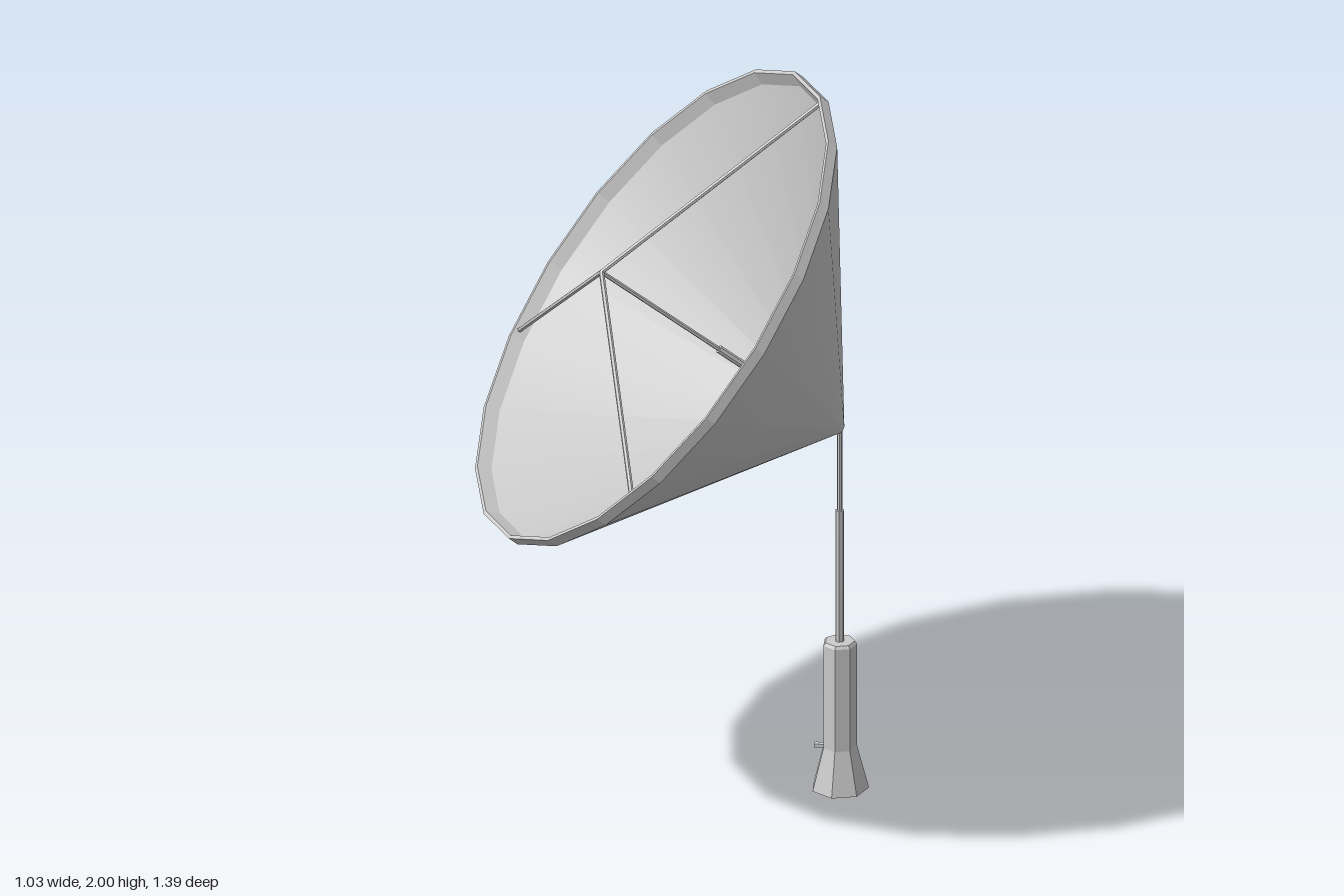
import * as THREE from 'three';

const smooth = new THREE.MeshStandardMaterial({ color: 0xcccccc });
const flat = new THREE.MeshStandardMaterial({ color: 0xcccccc, flatShading: true });

function lathe(name, profile, sides, material, start = 0) {
  const points = profile.map(([r, y]) => new THREE.Vector2(r, y));
  const mesh = new THREE.Mesh(new THREE.LatheGeometry(points, sides, start), material);
  mesh.name = name;
  return mesh;
}

// Thin rod between two points
function rod(name, from, to, radius, sides = 6) {
  const dir = to.clone().sub(from);
  const mesh = new THREE.Mesh(new THREE.CylinderGeometry(radius, radius, dir.length(), sides), flat);
  mesh.position.copy(from).add(to).multiplyScalar(0.5);
  mesh.quaternion.setFromUnitVectors(new THREE.Vector3(0, 1, 0), dir.normalize());
  mesh.name = name;
  return mesh;
}

// Dish built around its own y axis, with the rim centre at the origin
function createDish() {
  const dish = new THREE.Group();
  dish.name = 'dish';
  const sides = 20;
  dish.add(
    lathe('dishBack', [[0, -0.64], [0.012, -0.635], [0.72, -0.015]], sides, smooth),
    lathe('dishRim', [[0.72, -0.015], [0.72, 0.015], [0.71, 0.015], [0.695, -0.02]], sides, flat),
    lathe('dishInside', [[0.695, -0.02], [0.01, -0.616], [0, -0.62]], sides, smooth),
  );

  // Three struts and the axial feed meet at the focus
  const focus = new THREE.Vector3(0, 0.187, 0);
  for (const degrees of [0, 124, -116]) {
    const a = THREE.MathUtils.degToRad(degrees);
    const end = new THREE.Vector3(0.706 * Math.sin(a), 0, 0.706 * Math.cos(a));
    dish.add(rod('strut', focus, end, 0.007));
  }
  const tip = new THREE.Vector3(0, -0.62, 0);
  dish.add(rod('feedRod', focus, tip, 0.006));
  dish.add(rod('feedSleeve', new THREE.Vector3(0, -0.215, 0), tip, 0.011, 8));

  // Aim the dish up, sideways and slightly forward
  const axis = new THREE.Vector3(-0.74, 0.625, 0.25).normalize();
  const top = new THREE.Vector3(0, 1, 0).addScaledVector(axis, -axis.y).normalize();
  const side = new THREE.Vector3().crossVectors(axis, top);
  dish.quaternion.setFromRotationMatrix(new THREE.Matrix4().makeBasis(side, axis, top));
  dish.position.set(-0.0275, 1.43, 0);
  return dish;
}

// Seven-sided flared base with a two-stage mast
function createStand() {
  const stand = new THREE.Group();
  stand.name = 'stand';
  const profile = [[0, 0], [0.077, 0], [0.046, 0.12], [0.046, 0.415], [0.04, 0.423], [0, 0.423]];
  stand.add(lathe('base', profile, 7, flat, Math.PI / 2 + 0.07));
  const at = (y) => new THREE.Vector3(0, y, 0);
  stand.add(rod('lowerMast', at(0.42), at(0.8), 0.012, 7));
  stand.add(rod('upperMast', at(0.8), at(1.035), 0.007, 7));

  // Small latch on the side of the base
  const latch = new THREE.Mesh(new THREE.BoxGeometry(0.03, 0.01, 0.015), flat);
  latch.name = 'latch';
  latch.position.set(-0.052, 0.12, 0.004);
  stand.add(latch);

  stand.position.set(0.438, 0, -0.157);
  return stand;
}

export function createModel() {
  const model = new THREE.Group();
  model.name = 'dishAntenna';
  model.add(createStand(), createDish());
  return model;
}
